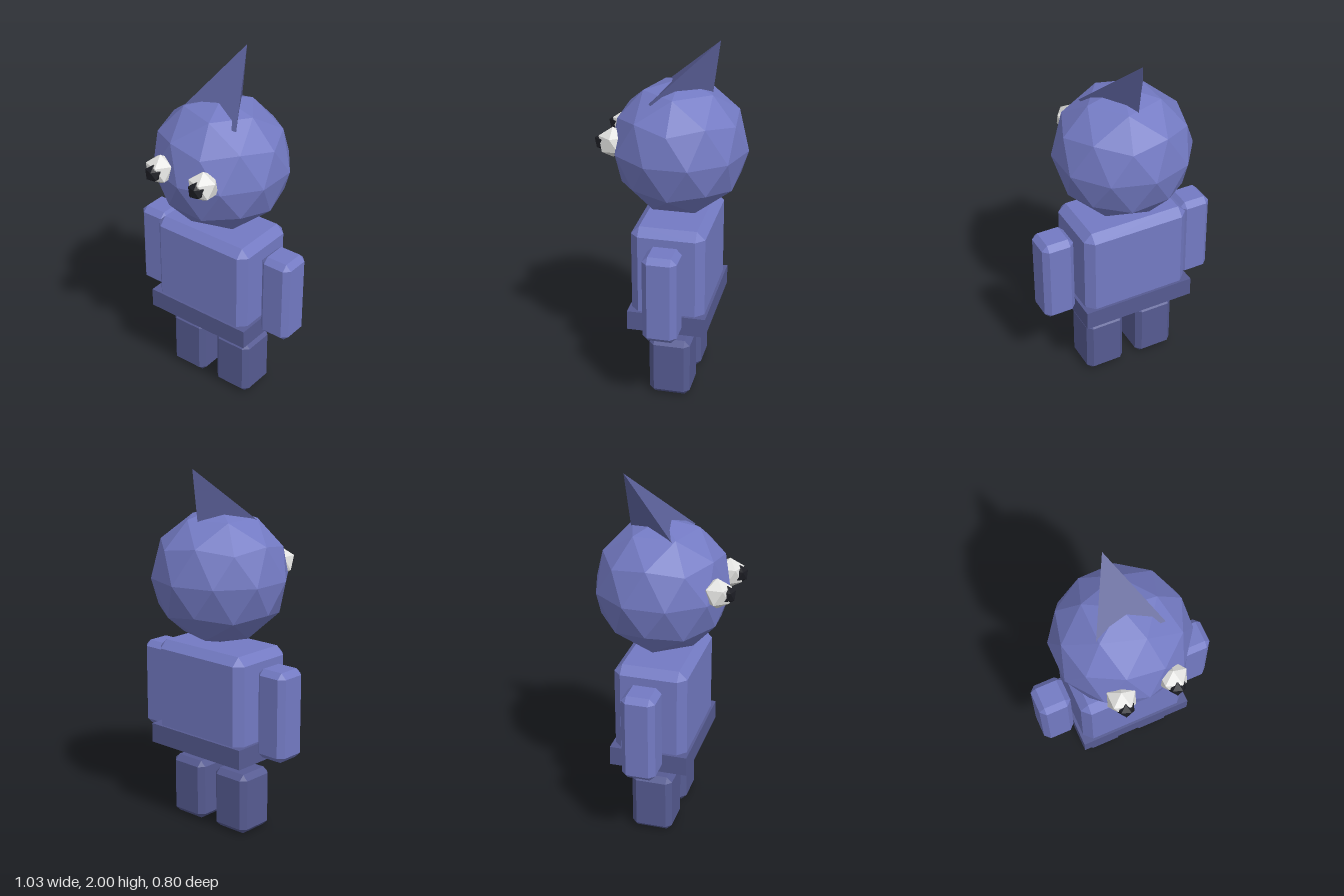
import * as THREE from 'three';
import { ConvexGeometry } from 'three/addons/geometries/ConvexGeometry.js';

const makeMaterial = (name, color) => {
  const m = new THREE.MeshStandardMaterial({ color, flatShading: true });
  m.name = name;
  return m;
};

// Box with every edge bevelled, given by its limits
function bevelBox([x0, x1], [y0, y1], [z0, z1], c) {
  const half = [(x1 - x0) / 2, (y1 - y0) / 2, (z1 - z0) / 2];
  const points = [];
  for (const sx of [-1, 1]) for (const sy of [-1, 1]) for (const sz of [-1, 1]) {
    for (let axis = 0; axis < 3; axis++) {
      const p = half.map((h, i) => (i === axis ? h : h - c));
      points.push(new THREE.Vector3(sx * p[0], sy * p[1], sz * p[2]));
    }
  }
  return new ConvexGeometry(points).translate((x0 + x1) / 2, (y0 + y1) / 2, (z0 + z1) / 2);
}

// Faceted ball with a corner at the top and bottom
function facetBall(radius, detail) {
  const tilt = Math.atan(2 / (1 + Math.sqrt(5)));
  return new THREE.IcosahedronGeometry(radius, detail).rotateZ(-tilt);
}

export function createModel() {
  const model = new THREE.Group();
  model.name = 'figure';
  const blue = makeMaterial('blue', 0x737ac3);
  const darkBlue = makeMaterial('dark blue', 0x565b92);
  const white = makeMaterial('eye white', 0xe2e2e0);
  const black = makeMaterial('pupil black', 0x1b1c22);

  const add = (name, geometry, material, x = 0, y = 0, z = 0) => {
    const mesh = new THREE.Mesh(geometry, material);
    mesh.name = name;
    mesh.position.set(x, y, z);
    model.add(mesh);
    return mesh;
  };

  // Trunk and belt
  add('torso', bevelBox([-0.31, 0.31], [0.415, 1.033], [-0.225, 0.18], 0.045), blue);
  add('belt', new THREE.BoxGeometry(0.654, 0.11, 0.434), darkBlue, 0, 0.488, -0.023);

  // Head and the tilted three-sided hat
  add('head', facetBall(0.372, 1), blue, 0, 1.408, -0.03).scale.x = 1.025;
  const hat = new THREE.ConeGeometry(0.219, 0.445, 3).rotateY(Math.PI);
  add('hat', hat, darkBlue, 0, 1.815, -0.118).rotation.x = -0.588;

  // Limbs and eyes on both sides
  for (const [side, s] of [['left', 1], ['right', -1]]) {
    const span = (a, b) => (s > 0 ? [a, b] : [-b, -a]);
    add(side + 'Arm', bevelBox(span(0.33, 0.515), [0.473, 0.97], [-0.12, 0.067], 0.031), blue);
    add(side + 'Leg', bevelBox(span(0.042, 0.272), [0, 0.345], [-0.14, 0.09], 0.03), darkBlue);
    add(side + 'Eye', facetBall(0.085, 0), white, s * 0.142, 1.452, 0.302);
    add(side + 'Pupil', facetBall(0.05, 0), black, s * 0.142, 1.452, 0.355);
  }
  return model;
}
